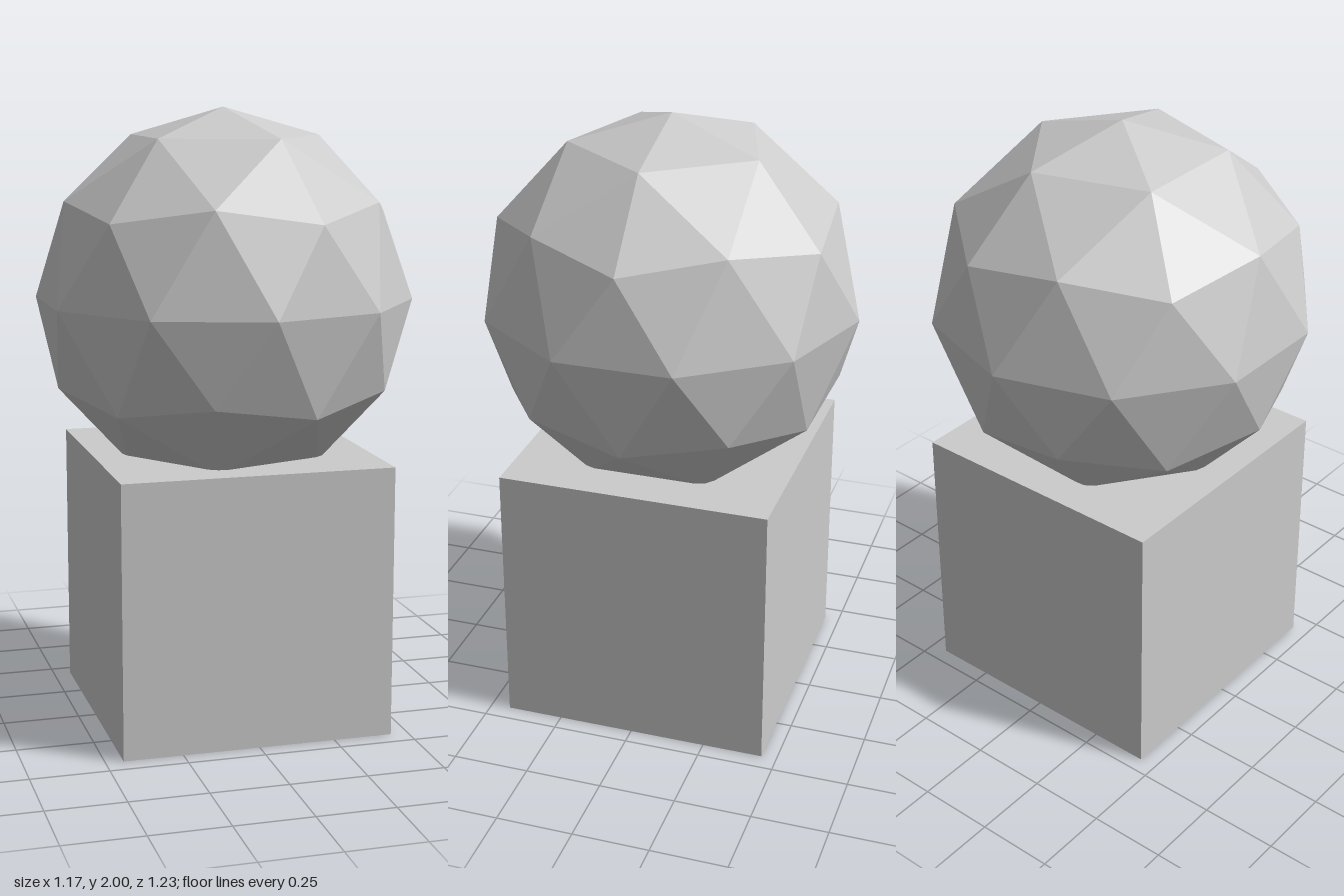
import * as THREE from 'three';

export function createModel() {
  const group = new THREE.Group();
  const material = new THREE.MeshStandardMaterial({ color: 0xcccccc, flatShading: true });

  // Cube pedestal, set very slightly back from the ball
  const side = 0.885;
  const pedestal = new THREE.Mesh(new THREE.BoxGeometry(side, side, side), material);
  pedestal.name = 'pedestal';
  pedestal.position.set(0, side / 2, -0.007);
  group.add(pedestal);

  // Faceted ball, turned so that one corner points straight up, sunk into the pedestal
  const radius = 0.614;
  const goldenRatio = (1 + Math.sqrt(5)) / 2;
  const ballGeometry = new THREE.IcosahedronGeometry(radius, 1);
  ballGeometry.rotateZ(-Math.atan(1 / goldenRatio));
  const ball = new THREE.Mesh(ballGeometry, material);
  ball.name = 'ball';
  ball.position.y = 2 - radius;
  group.add(ball);

  return group;
}
